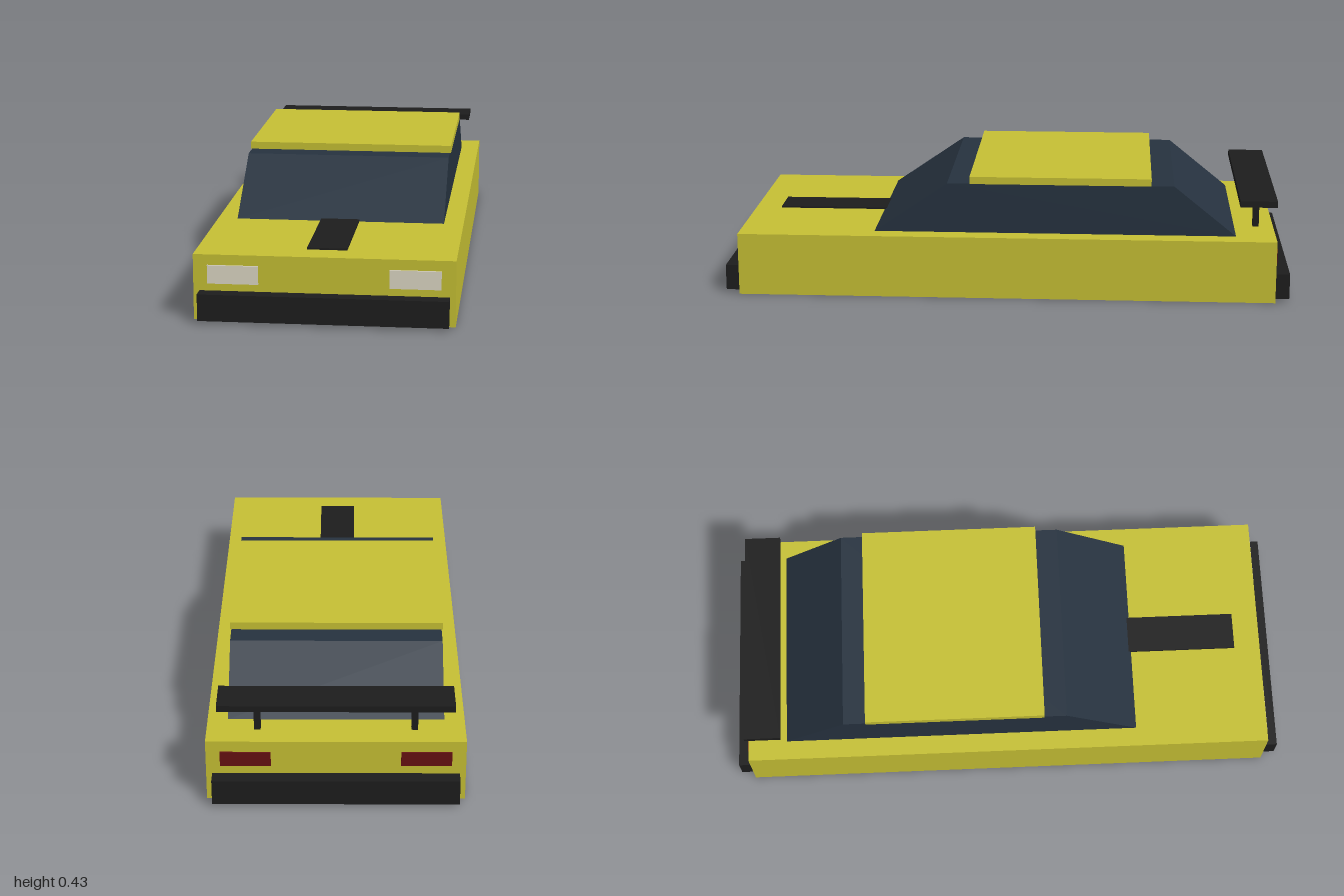
import * as THREE from 'three';

const paint = (color) => new THREE.MeshStandardMaterial({ color, flatShading: true });

export function createModel() {
  const car = new THREE.Group();
  car.name = 'car';
  const yellow = paint(0xc6c034);
  const black = paint(0x1d1d1d);
  const glass = paint(0x26323f);
  const lamp = paint(0xddd8c4);
  const red = paint(0x661212);

  // Box given by its lower and upper limits on each axis
  const box = (name, material, [x0, x1], [y0, y1], [z0, z1]) => {
    const mesh = new THREE.Mesh(new THREE.BoxGeometry(x1 - x0, y1 - y0, z1 - z0), material);
    mesh.position.set((x0 + x1) / 2, (y0 + y1) / 2, (z0 + z1) / 2);
    mesh.name = name;
    car.add(mesh);
  };

  box('body', yellow, [-0.43, 0.43], [0, 0.222], [-0.95, 0.95]);
  box('roofPanel', yellow, [-0.366, 0.366], [0.4, 0.426], [-0.51, 0.13]);
  box('hoodStripe', black, [-0.067, 0.067], [0.215, 0.228], [0.4, 0.855]);

  // Cabin: side profile (z, y) extruded across the width
  const profile = new THREE.Shape([[0.47, 0.222], [0.21, 0.4], [-0.59, 0.4], [-0.81, 0.222]]
    .map(([z, y]) => new THREE.Vector2(-z, y)));
  const cabinGeometry = new THREE.ExtrudeGeometry(profile, { depth: 0.724, bevelEnabled: false });
  cabinGeometry.translate(0, 0, -0.362).rotateY(Math.PI / 2);
  const cabin = new THREE.Mesh(cabinGeometry, glass);
  cabin.name = 'cabin';
  car.add(cabin);

  // Bumpers
  box('frontBumper', black, [-0.41, 0.41], [0.01, 0.1], [0.94, 1]);
  box('rearBumper', black, [-0.41, 0.41], [0.01, 0.1], [-1, -0.94]);

  // Lights and spoiler struts, mirrored left and right
  for (const [side, s] of [['left', 1], ['right', -1]]) {
    const span = (centre, width) => [s * centre - width / 2, s * centre + width / 2];
    box(side + 'Headlight', lamp, span(0.299, 0.168), [0.125, 0.187], [0.94, 0.956]);
    box(side + 'Taillight', red, span(0.299, 0.168), [0.132, 0.183], [-0.956, -0.94]);
    box(side + 'SpoilerStrut', black, span(0.26, 0.022), [0.235, 0.322], [-0.895, -0.873]);
  }

  // Spoiler wing
  box('spoilerWing', black, [-0.39, 0.39], [0.336, 0.358], [-0.95, -0.82]);
  return car;
}
